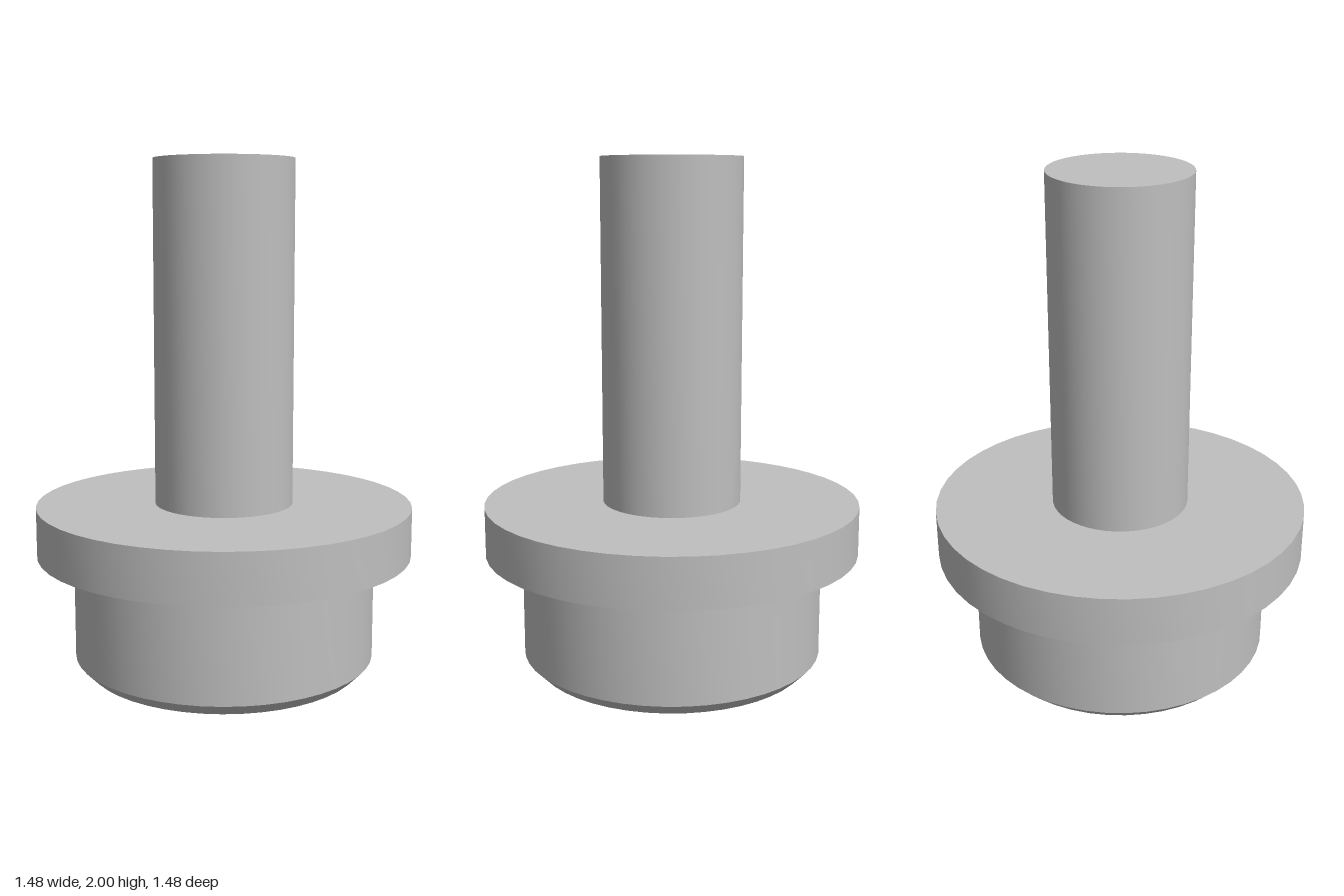
import * as THREE from 'three';
import { toCreasedNormals } from 'three/addons/utils/BufferGeometryUtils.js';

const SEGMENTS = 48;
const HEAD_BOTTOM = 0.55, RECESS_DEPTH = 0.09;

export function createModel() {
  const group = new THREE.Group();
  const steel = new THREE.MeshStandardMaterial({ color: 0xbfbfbf });
  steel.name = 'steel grey';

  const add = (name, geometry) => {
    const mesh = new THREE.Mesh(geometry, steel);
    mesh.name = name;
    group.add(mesh);
  };
  // Turned part from [radius, height] pairs, listed bottom to top
  const turned = (name, profile) => add(name, toCreasedNormals(
    new THREE.LatheGeometry(profile.map(([r, y]) => new THREE.Vector2(r, y)), SEGMENTS), 0.5));

  turned('shank', [[0.273, 0.66], [0.273, 2], [0, 2]]);
  turned('flange', [[0.597, 0.465], [0.742, 0.465], [0.742, 0.66], [0.273, 0.66]]);
  turned('head', [[HEAD_BOTTOM, 0], [0.597, 0.048], [0.597, 0.465]]);

  // Underside of the head with a cross-shaped opening
  const face = new THREE.Shape();
  face.absarc(0, 0, HEAD_BOTTOM, 0, Math.PI * 2, false);
  const a = 0.07, b = 0.355; // half width and half length of the arms
  const cross = [];
  for (let i = 0; i < 4; i++) {
    const turn = i * Math.PI / 2;
    for (const [x, y] of [[b, -a], [b, a], [a, a]])
      cross.push(new THREE.Vector2(x, y).rotateAround(new THREE.Vector2(), turn));
  }
  face.holes.push(new THREE.Path(cross.reverse()));
  const underside = new THREE.ExtrudeGeometry(face,
    { depth: RECESS_DEPTH, bevelEnabled: false, curveSegments: SEGMENTS / 2 });
  add('headUnderside', underside.rotateX(-Math.PI / 2));

  // Floor of the drive recess, facing down
  const floor = new THREE.CircleGeometry(HEAD_BOTTOM - 0.02, SEGMENTS);
  add('recessFloor', floor.rotateX(Math.PI / 2).translate(0, RECESS_DEPTH, 0));

  return group;
}
